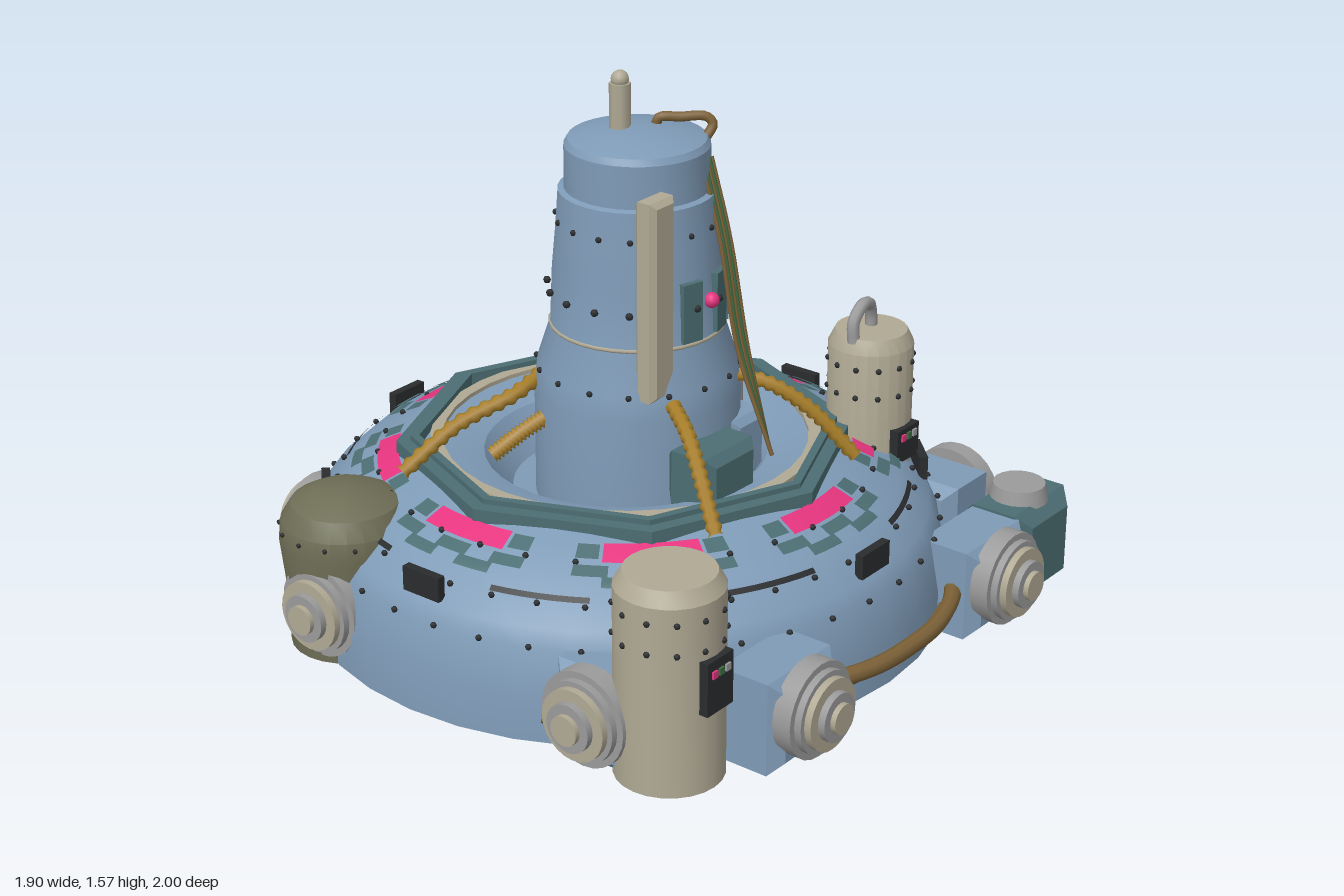
import * as THREE from 'three';
import { mergeGeometries, toCreasedNormals } from 'three/addons/utils/BufferGeometryUtils.js';

const mat = (name, color, double) => {
  const m = new THREE.MeshStandardMaterial({ color });
  m.name = name;
  if (double) m.side = THREE.DoubleSide;
  return m;
};
const M = {
  blue: mat('hull blue', 0x7f9bb7), teal: mat('dark teal', 0x4c6e73, true), tan: mat('tan', 0xb0a994),
  grey: mat('grey', 0x9b9b9b), olive: mat('olive', 0x6e6e56), pink: mat('magenta', 0xe6357f, true),
  black: mat('charcoal', 0x2a2c2e, true), bronze: mat('bronze', 0x7d6238), brass: mat('brass', 0xa57d28),
  green: mat('green', 0x3f6b42),
};

function add(parent, name, geo, material, x = 0, y = 0, z = 0, ry = 0) {
  const m = new THREE.Mesh(geo, material);
  m.name = name;
  m.position.set(x, y, z);
  m.rotation.y = ry;
  parent.add(m);
  return m;
}
function group(parent, name, x = 0, y = 0, z = 0, ry = 0) {
  const g = new THREE.Group();
  g.name = name;
  g.position.set(x, y, z);
  g.rotation.y = ry;
  parent.add(g);
  return g;
}
const lathe = (pts, seg = 32) =>
  toCreasedNormals(new THREE.LatheGeometry(pts.map(p => new THREE.Vector2(p[0], p[1])), seg), 0.5);

// Box with bevelled edges, centred
function chamferBox(w, h, d, c) {
  const a = w / 2 - c, b = h / 2 - c;
  const s = new THREE.Shape([[-a, -b], [a, -b], [a, b], [-a, b]].map(p => new THREE.Vector2(...p)));
  const g = new THREE.ExtrudeGeometry(s, { depth: d - 2 * c, bevelSize: c, bevelThickness: c, bevelSegments: 1 });
  return g.translate(0, 0, -d / 2 + c);
}
// Ring of small studs
function studs(parent, r, y, count, size = 0.009, phase = 0.5) {
  const list = [];
  for (let i = 0; i < count; i++) {
    const a = (i + phase) / count * Math.PI * 2;
    list.push(new THREE.SphereGeometry(size, 6, 4).translate(r * Math.sin(a), y, r * Math.cos(a)));
  }
  add(parent, 'studs', mergeGeometries(list), M.black);
}
const curve = pts => new THREE.CatmullRomCurve3(pts.map(p => new THREE.Vector3(...p)));
const tube = (pts, r, seg = 24) => new THREE.TubeGeometry(curve(pts), seg, r, 8);

// Braided cable: tube whose radius ripples along its length
function braided(parent, pts, r) {
  const n = 56, g = tube(pts, r, n), p = g.attributes.position, q = g.attributes.normal;
  for (let i = 0; i < p.count; i++) {
    const k = (Math.floor(i / 9) % 4 < 2 ? 0.18 : -0.12) * r;
    p.setXYZ(i, p.getX(i) + q.getX(i) * k, p.getY(i) + q.getY(i) * k, p.getZ(i) + q.getZ(i) * k);
  }
  add(parent, 'braidedCable', g, M.brass);
}

// Hull shoulder profile, outside to inside
const shoulder = [[0.915, 0.01], [0.912, 0.13], [0.885, 0.27], [0.86, 0.315], [0.77, 0.4], [0.645, 0.455], [0.58, 0.475]];
function hullY(r) {
  for (let i = 1; i < shoulder.length; i++) {
    const [r0, y0] = shoulder[i - 1], [r1, y1] = shoulder[i];
    if (r >= r1) return y0 + (y1 - y0) * (r0 - r) / (r0 - r1);
  }
  return 0.475;
}
// Thin plate that follows the hull shoulder
function patch(r0, r1, a0, a1) {
  const g = new THREE.PlaneGeometry(1, 1, 6, 3), p = g.attributes.position;
  for (let i = 0; i < p.count; i++) {
    const a = a0 + (a1 - a0) * (p.getX(i) + 0.5), r = r0 + (r1 - r0) * (0.5 - p.getY(i));
    p.setXYZ(i, r * Math.sin(a), hullY(r) + 0.007, r * Math.cos(a));
  }
  g.computeVertexNormals();
  return g;
}
function octagonRing(ro, ri, h) {
  const oct = r => [...Array(8)].map((_, i) => new THREE.Vector2(r * Math.cos(i * Math.PI / 4), r * Math.sin(i * Math.PI / 4)));
  const s = new THREE.Shape(oct(ro));
  s.holes.push(new THREE.Path(oct(ri)));
  return new THREE.ExtrudeGeometry(s, { depth: h, bevelEnabled: false }).rotateX(-Math.PI / 2);
}

function buildHull(root) {
  const hull = group(root, 'hull', 0, 0, -0.083);
  add(hull, 'hullBody', lathe([[0, 0.01], ...shoulder, [0.55, 0.485], [0.515, 0.485], [0.4, 0.45], [0.32, 0.34], [0, 0.34]], 36), M.blue);
  add(hull, 'octagonCollar', octagonRing(0.645, 0.58, 0.06), M.teal, 0, 0.437);
  add(hull, 'octagonRim', octagonRing(0.605, 0.58, 0.075), M.teal, 0, 0.437);
  add(hull, 'pitRing', lathe([[0.55, 0.47], [0.55, 0.497], [0.515, 0.497], [0.515, 0.47]], 36), M.tan);
  studs(hull, 0.89, 0.275, 40);
  studs(hull, 0.815, 0.365, 40);
  studs(hull, 0.70, 0.435, 32);
  for (let i = 0; i < 8; i++) {
    const a = i * Math.PI / 4;
    add(hull, 'magentaPlate', patch(0.64, 0.70, a - 0.195, a + 0.195), M.pink);
    // camouflage cells around each magenta plate
    const cells = [[0.645, 0.69, -0.3, -0.21], [0.645, 0.69, 0.21, 0.3], [0.71, 0.745, -0.3, -0.17], [0.71, 0.745, -0.07, 0.07],
      [0.71, 0.745, 0.17, 0.3], [0.745, 0.775, -0.19, -0.05], [0.745, 0.775, 0.05, 0.19]];
    add(hull, 'camouflage', mergeGeometries(cells.map(c => patch(c[0], c[1], a + c[2], a + c[3]))), M.teal);
    add(hull, 'blackPlate', new THREE.BoxGeometry(0.125, 0.07, 0.025), M.black, 0.845 * Math.sin(a), 0.36, 0.845 * Math.cos(a), a);
    const b = a + Math.PI / 8;
    add(hull, 'seamStrip', patch(0.795, 0.807, b - 0.17, b + 0.17), M.black);
  }
  // thin pipe hugging the front half of the hull
  const arc = (r, y, half) => [...Array(13)].map((_, i) => {
    const a = (i / 6 - 1) * half;
    return [r * Math.sin(a), y, r * Math.cos(a)];
  });
  add(hull, 'thinPipe', tube(arc(0.926, 0.09, 1.13), 0.012, 48), M.bronze);
  add(hull, 'pipeJoint', new THREE.BoxGeometry(0.03, 0.035, 0.035), M.grey, 0, 0.09, 0.926);
  add(root, 'thickPipe', tube([[-0.4, 0.15, 0.76], [-0.3, 0.145, 0.83], [-0.15, 0.14, 0.88], [0, 0.138, 0.89],
    [0.15, 0.14, 0.88], [0.3, 0.145, 0.83], [0.4, 0.15, 0.76]], 0.024, 32), M.bronze);
}

// Stepped round thruster on a bevelled block; local +z points outward
function thruster(root, x, z, ry) {
  const t = group(root, 'thruster', x, 0, z, ry);
  add(t, 'block', chamferBox(0.27, 0.265, 0.22, 0.035), M.blue, 0, 0.14, -0.11);
  const steps = [[0.134, 0.035, M.grey], [0.115, 0.055, M.grey], [0.1, 0.075, M.tan], [0.068, 0.095, M.grey], [0.042, 0.11, M.tan]];
  for (const [r, d, m] of steps)
    add(t, 'disc', new THREE.CylinderGeometry(r, r, d + 0.02, 24).rotateX(Math.PI / 2), m, 0, 0.165, d / 2 - 0.01);
}

function buildTower(root) {
  const t = group(root, 'tower', 0, 0, -0.04);
  add(t, 'towerBody', lathe([[0.288, 0.33], [0.288, 0.66], [0.28, 0.73], [0.242, 0.85], [0.236, 1.0], [0.225, 1.12], [0.217, 1.235],
    [0.2, 1.24], [0.2, 1.36], [0.19, 1.378], [0.12, 1.4], [0, 1.412]]), M.blue);
  add(t, 'towerSeam', new THREE.TorusGeometry(0.241, 0.006, 6, 32).rotateX(Math.PI / 2), M.tan, 0, 0.85);
  studs(t, 0.282, 0.73, 16);
  studs(t, 0.25, 0.955, 16, 0.011);
  studs(t, 0.224, 1.155, 16);
  for (const a of [-0.25, 0.27, 0.66])
    add(t, 'towerPanel', new THREE.BoxGeometry(0.065, 0.17, 0.03), M.teal, 0.235 * Math.sin(a), 0.945, 0.235 * Math.cos(a), a);
  add(t, 'magentaLamp', new THREE.SphereGeometry(0.022, 12, 8), M.pink, 0.015, 0.96, 0.245);
  add(t, 'slab', chamferBox(0.1, 0.57, 0.07, 0.015), M.tan, -0.163, 1.005, 0.19);
  add(t, 'mast', new THREE.CylinderGeometry(0.03, 0.03, 0.16, 8), M.tan, -0.03, 1.45, -0.035);
  add(t, 'mastBall', new THREE.SphereGeometry(0.025, 12, 8), M.tan, -0.03, 1.54, -0.035);
  add(t, 'hookPipe', tube([[0.06, 1.38, 0.02], [0.06, 1.42, 0.025], [0.1, 1.422, 0.07], [0.15, 1.42, 0.12], [0.158, 1.40, 0.135], [0.135, 1.36, 0.125]], 0.014), M.bronze);
  // strands hanging down the front
  for (let i = 0; i < 5; i++) {
    const d = (i - 2) * 0.011;
    add(t, 'strand', tube([[0.085 + d, 1.33, 0.17], [0.095 + d, 1.1, 0.23], [0.11 + d, 0.8, 0.28], [0.138 + d, 0.5, 0.36 - d]], 0.006),
      i % 2 ? M.green : M.bronze);
  }
  add(root, 'tealBox', chamferBox(0.215, 0.16, 0.16, 0.025), M.teal, -0.078, 0.51, 0.28);
  add(root, 'blueBox', chamferBox(0.14, 0.19, 0.14, 0.02), M.blue, 0.13, 0.495, 0.19);
  add(root, 'roundVent', new THREE.CylinderGeometry(0.04, 0.04, 0.25, 16), M.grey, 0.265, 0.5, 0.08);
}

// Upright tank with bevelled lid and a control panel on its front
function tank(root, x, z, r, y0, y1, panelX, panelY, panelH) {
  const t = group(root, 'tank', x, 0, z);
  add(t, 'tankBody', lathe([[0, y0], [r, y0], [r, y1 - 0.04], [r * 0.84, y1], [0, y1]], 24), M.tan);
  studs(t, r, y1 - 0.085, 12);
  studs(t, r, y1 - 0.17, 12);
  add(t, 'controlPanel', new THREE.BoxGeometry(0.105, panelH, 0.03), M.black, panelX, panelY, r);
  [M.pink, M.green, M.grey].forEach((m, i) =>
    add(t, 'indicator', new THREE.BoxGeometry(0.018, 0.02, 0.006), m, panelX + (i - 1) * 0.027, panelY + panelH * 0.25, r + 0.018));
  return t;
}

export function createModel() {
  const root = new THREE.Group();
  root.name = 'station';
  buildHull(root);
  buildTower(root);
  for (const s of [-1, 1]) {
    thruster(root, s * 0.46, 0.89, 0);
    thruster(root, s * 0.46, -0.84, Math.PI);
    thruster(root, s * 0.84, 0.48, s * Math.PI / 2);
    thruster(root, s * 0.84, -0.45, s * Math.PI / 2);
    // olive domed housings
    const o = group(root, 'oliveHousing', s < 0 ? -0.715 : 0.68, 0, -0.49);
    add(o, 'housing', lathe([[0, 0.01], [0.165, 0.01], [0.172, 0.2], [0.185, 0.32], [0.18, 0.38], [0.15, 0.43], [0.09, 0.462], [0, 0.473]], 24), M.olive);
    studs(o, 0.184, 0.36, 14, 0.007);
    braided(root, [[s * 0.145, 0.7, 0.2], [s * 0.2, 0.665, 0.29], [s * 0.26, 0.59, 0.38], [s * 0.32, 0.465, 0.48]], 0.02);
  }
  braided(root, [[-0.15, 0.7, -0.24], [-0.27, 0.66, -0.25], [-0.42, 0.59, -0.34], [-0.57, 0.48, -0.41]], 0.02);
  braided(root, [[-0.25, 0.6, -0.17], [-0.3, 0.57, -0.2], [-0.38, 0.51, -0.25]], 0.022);
  braided(root, [[0.155, 0.71, -0.3], [0.21, 0.67, -0.42], [0.28, 0.58, -0.56], [0.335, 0.465, -0.66]], 0.02);
  braided(root, [[0.27, 0.6, -0.17], [0.35, 0.57, -0.25], [0.43, 0.51, -0.33]], 0.022);

  tank(root, -0.72, 0.64, 0.146, 0.01, 0.585, 0, 0.315, 0.15);
  const small = tank(root, 0.535, 0.378, 0.122, 0.25, 0.755, 0, 0.435, 0.1);
  add(small, 'handle', tube([[-0.095, 0.74, 0.005], [-0.09, 0.8, 0], [-0.05, 0.838, 0], [0, 0.825, -0.01], [0.018, 0.79, -0.015], [0.02, 0.74, -0.015]], 0.018), M.grey);

  // teal corner crate with round cap
  const crate = group(root, 'crate', 0.722, 0, 0.775);
  add(crate, 'crateBody', chamferBox(0.268, 0.28, 0.215, 0.04), M.teal, 0, 0.14);
  add(crate, 'crateCap', new THREE.CylinderGeometry(0.075, 0.085, 0.05, 20), M.grey, 0, 0.295);
  return root;
}
